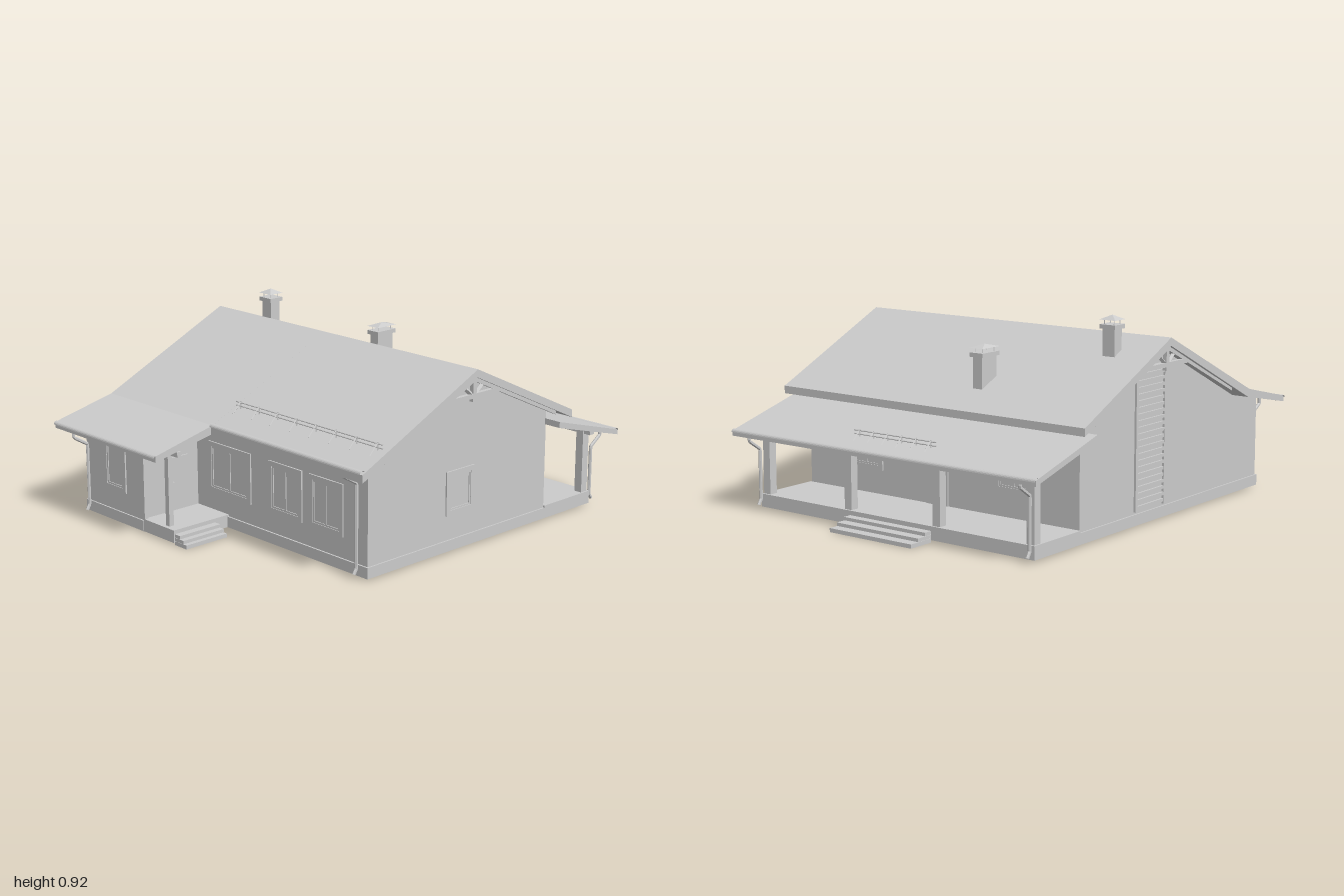
import * as THREE from 'three';

const mat = new THREE.MeshStandardMaterial({ color: 0xcccccc, flatShading: true });
const thin = new THREE.MeshStandardMaterial({ color: 0xcccccc, flatShading: true, side: THREE.DoubleSide });

export function createModel() {
  const house = new THREE.Group();
  house.name = 'house';

  const add = (name, geo, material = mat, parent = house) => {
    const m = new THREE.Mesh(geo, material);
    m.name = name;
    parent.add(m);
    return m;
  };
  // Box given by its limits on each axis
  const box = (name, x0, x1, y0, y1, z0, z1, parent) => {
    const m = add(name, new THREE.BoxGeometry(x1 - x0, y1 - y0, z1 - z0), mat, parent);
    m.position.set((x0 + x1) / 2, (y0 + y1) / 2, (z0 + z1) / 2);
    return m;
  };
  const toShape = (pts) => new THREE.Shape(pts.map((p) => new THREE.Vector2(...p)));
  // (z, y) profile extruded along x
  const prism = (name, pts, x0, x1, parent) => {
    const g = new THREE.ExtrudeGeometry(toShape(pts), { depth: x1 - x0, bevelEnabled: false });
    return add(name, g.rotateY(-Math.PI / 2).translate(x1, 0, 0), mat, parent);
  };
  // Single-sheet walls: one facing x, one facing z
  const sideWall = (name, pts, x) =>
    add(name, new THREE.ShapeGeometry(toShape(pts)).rotateY(-Math.PI / 2).translate(x, 0, 0), thin);
  const frontWall = (name, x0, x1, y1, z) =>
    add(name, new THREE.PlaneGeometry(x1 - x0, y1 - 0.01).translate((x0 + x1) / 2, (y1 + 0.01) / 2, z), thin);
  // Straight round or square bar between two points
  const bar = (name, a, b, r, parent, sides = 6) => {
    const p = new THREE.Vector3(...a), q = new THREE.Vector3(...b);
    const m = add(name, new THREE.CylinderGeometry(r, r, p.distanceTo(q), sides), mat, parent);
    m.position.copy(p).add(q).multiplyScalar(0.5);
    m.quaternion.setFromUnitVectors(new THREE.Vector3(0, 1, 0), q.sub(p).normalize());
    return m;
  };

  // Hollow walls, open underneath
  sideWall('leftGableWall', [[0.57, 0.01], [0.57, 0.54], [0, 0.805], [-0.55, 0.545], [-0.55, 0.01]], 0.765);
  sideWall('rightGableWall', [[0.88, 0.01], [0.88, 0.445], [0.67, 0.49], [0, 0.805], [-0.55, 0.545], [-0.55, 0.01]], -0.765);
  sideWall('wingSideWall', [[0.88, 0.01], [0.88, 0.445], [0.67, 0.49], [0.57, 0.535], [0.57, 0.01]], -0.345);
  frontWall('frontWall', -0.345, 0.765, 0.54, 0.57);
  frontWall('wingFrontWall', -0.765, -0.345, 0.445, 0.88);
  frontWall('backWall', -0.765, 0.765, 0.545, -0.55);

  // Plinth strips around the base
  box('plinthFront', -0.345, 0.772, 0.01, 0.06, 0.57, 0.578);
  box('plinthWing', -0.772, -0.345, 0.01, 0.06, 0.88, 0.887);
  box('plinthLeft', 0.765, 0.772, 0.01, 0.06, -0.55, 0.578);
  box('plinthRight', -0.772, -0.765, 0.01, 0.06, -0.55, 0.887);

  // Roof slabs
  const t = 0.036;
  const kink = [0.67, 0.51];
  prism('roofFrontLeft', [[0, 0.825], [0.68, 0.505], [0.68, 0.505 - t], [0, 0.825 - t]], -0.11, 0.845);
  prism('roofFrontRight', [[0, 0.825], kink, [0.99, 0.435], [0.99, 0.435 - 0.028],
    [0.66, 0.51 - t], [0, 0.825 - t]], -0.85, -0.11);
  prism('roofBack', [[0, 0.825], [0, 0.825 - t], [-0.635, 0.49], [-0.635, 0.525]], -0.85, 0.845);
  prism('porchRoof', [[-0.545, 0.485], [-0.545, 0.457], [-0.965, 0.342], [-0.965, 0.366]], -0.85, 0.85);

  // Gutters: half-round troughs
  const gutter = (x0, x1, y, z) => {
    const g = new THREE.CylinderGeometry(0.014, 0.014, x1 - x0, 8, 1, true, 0, Math.PI);
    add('gutter', g.rotateZ(Math.PI / 2).rotateX(0).translate((x0 + x1) / 2, y, z), thin);
  };
  const troughs = [[-0.85, -0.11, 0.425, 0.985], [-0.11, 0.84, 0.507, 0.675], [-0.85, 0.85, 0.36, -0.957]];
  troughs.forEach((p) => gutter(...p));

  // Bent downpipes
  const downpipe = (x, y, zEave, zWall) => {
    const s = Math.sign(zEave), path = new THREE.CurvePath();
    const pts = [[y, zEave], [y - 0.035, zEave], [y - 0.08, zWall], [0.05, zWall], [0.025, zWall + s * 0.015]]
      .map(([py, pz]) => new THREE.Vector3(x, py, pz));
    for (let i = 1; i < pts.length; i++) path.add(new THREE.LineCurve3(pts[i - 1], pts[i]));
    add('downpipe', new THREE.TubeGeometry(path, 40, 0.008, 6), thin);
  };
  downpipe(-0.725, 0.42, 0.98, 0.905);
  downpipe(0.72, 0.505, 0.67, 0.592);
  for (const x of [-0.76, 0.76]) downpipe(x, 0.36, -0.95, -0.885);

  // Windows: frame with a hole, pane and mullion, centred on a wall
  const openWindow = (name, w, h, x, y, z, turn, mullion) => {
    const g = new THREE.Group();
    g.name = name;
    const ring = (n, rw, rh, b, d) => {
      const s = toShape([[-rw / 2, -rh / 2], [rw / 2, -rh / 2], [rw / 2, rh / 2], [-rw / 2, rh / 2]]);
      const a = rw / 2 - b, c = rh / 2 - b;
      s.holes.push(new THREE.Path([[-a, -c], [-a, c], [a, c], [a, -c]].map((p) => new THREE.Vector2(...p))));
      add(n, new THREE.ExtrudeGeometry(s, { depth: d * 2, bevelEnabled: false }).translate(0, 0, -d), mat, g);
    };
    ring('windowTrim', w, h, 0.022, 0.007);
    ring('windowSash', w - 0.044, h - 0.044, 0.008, 0.004);
    if (mullion) box('mullion', -0.004, 0.004, -h / 2 + 0.025, h / 2 - 0.025, -0.004, 0.004, g);
    g.position.set(x, y, z);
    g.rotation.y = turn;
    house.add(g);
  };
  openWindow('wingWindow', 0.16, 0.235, -0.55, 0.272, 0.88, 0, false);
  openWindow('frontWindow', 0.29, 0.235, -0.115, 0.272, 0.57, 0, true);
  openWindow('frontWindow', 0.215, 0.235, 0.257, 0.272, 0.57, 0, true);
  openWindow('frontWindow', 0.21, 0.235, 0.515, 0.272, 0.57, 0, true);
  openWindow('sideWindow', 0.175, 0.2, 0.765, 0.272, 0.015, Math.PI / 2, false);
  for (const x of [-0.42, 0.42]) openWindow('backWindow', 0.2, 0.2, x, 0.28, -0.55, Math.PI, true);

  // Doors
  box('entranceDoor', -0.345, -0.338, 0.075, 0.32, 0.63, 0.745);
  box('entranceHandle', -0.338, -0.328, 0.2, 0.207, 0.715, 0.738);
  box('backDoor', -0.06, 0.06, 0.07, 0.33, -0.557, -0.55);

  // Front entrance porch with side steps
  box('entranceFloor', -0.345, -0.13, 0.01, 0.068, 0.57, 0.885);
  box('entrancePost', -0.21, -0.185, 0.065, 0.445, 0.84, 0.865);
  box('cornerPost', -0.355, -0.335, 0.065, 0.445, 0.866, 0.886);
  box('entranceBeam', -0.345, -0.12, 0.4, 0.425, 0.842, 0.863);
  [[-0.095, 0.05], [-0.07, 0.034], [-0.05, 0.018]].forEach(([x, y], i) =>
    box('entranceStep', -0.13, x, i === 2 ? 0 : y - 0.015, y, 0.65, 0.88));

  // Back porch: deck, posts, beam and steps
  box('porchDeck', -0.772, 0.772, 0.01, 0.07, -0.87, -0.55);
  for (const x of [-0.745, -0.25, 0.25, 0.745]) box('porchPost', x - 0.02, x + 0.02, 0.07, 0.385, -0.86, -0.82);
  box('porchBeam', -0.80, 0.80, 0.355, 0.38, -0.855, -0.825);
  [[-0.91, 0.05], [-0.955, 0.034], [-1, 0.018]].forEach(([z, y], i) =>
    box('porchStep', -0.23, 0.23, i === 2 ? 0 : y - 0.015, y, z, -0.87));

  // Gable trusses under both roof ends
  for (const x of [-0.825, 0.82]) {
    const g = new THREE.Group();
    g.name = 'gableTruss';
    house.add(g);
    box('tieBeam', x - 0.01, x + 0.01, 0.695, 0.715, -0.2, 0.2, g);
    box('kingPost', x - 0.01, x + 0.01, 0.68, 0.8, -0.011, 0.011, g);
    for (const s of [-1, 1]) {
      bar('brace', [x, 0.71, s * 0.01], [x, 0.762, s * 0.075], 0.01, g, 4);
      prism('rafter', [[0, 0.795], [0, 0.77], [s * 0.54, 0.518], [s * 0.54, 0.543]].slice(0)
        , x - 0.01, x + 0.01, g);
    }
  }

  // Slatted panel on the right gable
  for (const z of [-0.14, 0.08]) box('slatUpright', -0.775, -0.765, 0.07, 0.72, z - 0.008, z + 0.008);
  for (let i = 0; i < 22; i++) box('slat', -0.774, -0.765, 0.08 + i * 0.029, 0.094 + i * 0.029, -0.14, 0.08);

  // Chimneys with collar and raised pyramid cap
  const chimney = (x, z, w, d, top, collar, capH) => {
    const g = new THREE.Group();
    g.name = 'chimney';
    house.add(g);
    const a = w / 2, b = d / 2, o = 0.01;
    box('chimneyStack', x - a, x + a, 0.56, top, z - b, z + b, g);
    box('chimneyCollar', x - a - o, x + a + o, top - 0.005, top + collar, z - b - o, z + b + o, g);
    for (const i of [-1, 1]) for (const j of [-1, 1])
      bar('capLeg', [x + i * a * 0.8, top, z + j * b * 0.8], [x + i * a * 0.8, top + collar + 0.022, z + j * b * 0.8], 0.002, g, 4);
    const cap = new THREE.CylinderGeometry(0.012, Math.SQRT1_2, capH, 4).rotateY(Math.PI / 4);
    cap.scale(w + 0.022, 1, d + 0.022).translate(x, top + collar + 0.02 + capH / 2, z);
    add('chimneyCap', cap, mat, g);
  };
  chimney(-0.642, -0.145, 0.062, 0.055, 0.868, 0.014, 0.02);
  chimney(-0.173, -0.435, 0.05, 0.1, 0.74, 0.014, 0.014);

  // Snow guards: two rails on slanted brackets
  const snowGuard = (x0, x1, y, z, s, n) => {
    const g = new THREE.Group();
    g.name = 'snowGuard';
    house.add(g);
    for (const h of [0.012, 0.028]) bar('guardRail', [x0, y + h, z], [x1, y + h, z], 0.003, g);
    for (let i = 0; i < n; i++) {
      const x = x0 + 0.03 + (x1 - x0 - 0.06) * i / (n - 1);
      bar('guardBracket', [x, y - 0.005, z], [x, y + 0.035, z], 0.004, g, 4);
      bar('guardStay', [x, y + 0.032, z], [x, y - 0.016, z + s * 0.045], 0.003, g, 4);
    }
  };
  snowGuard(-0.1, 0.82, 0.57, 0.54, 1, 8);
  snowGuard(-0.24, 0.22, 0.398, -0.845, -1, 6);

  return house;
}
